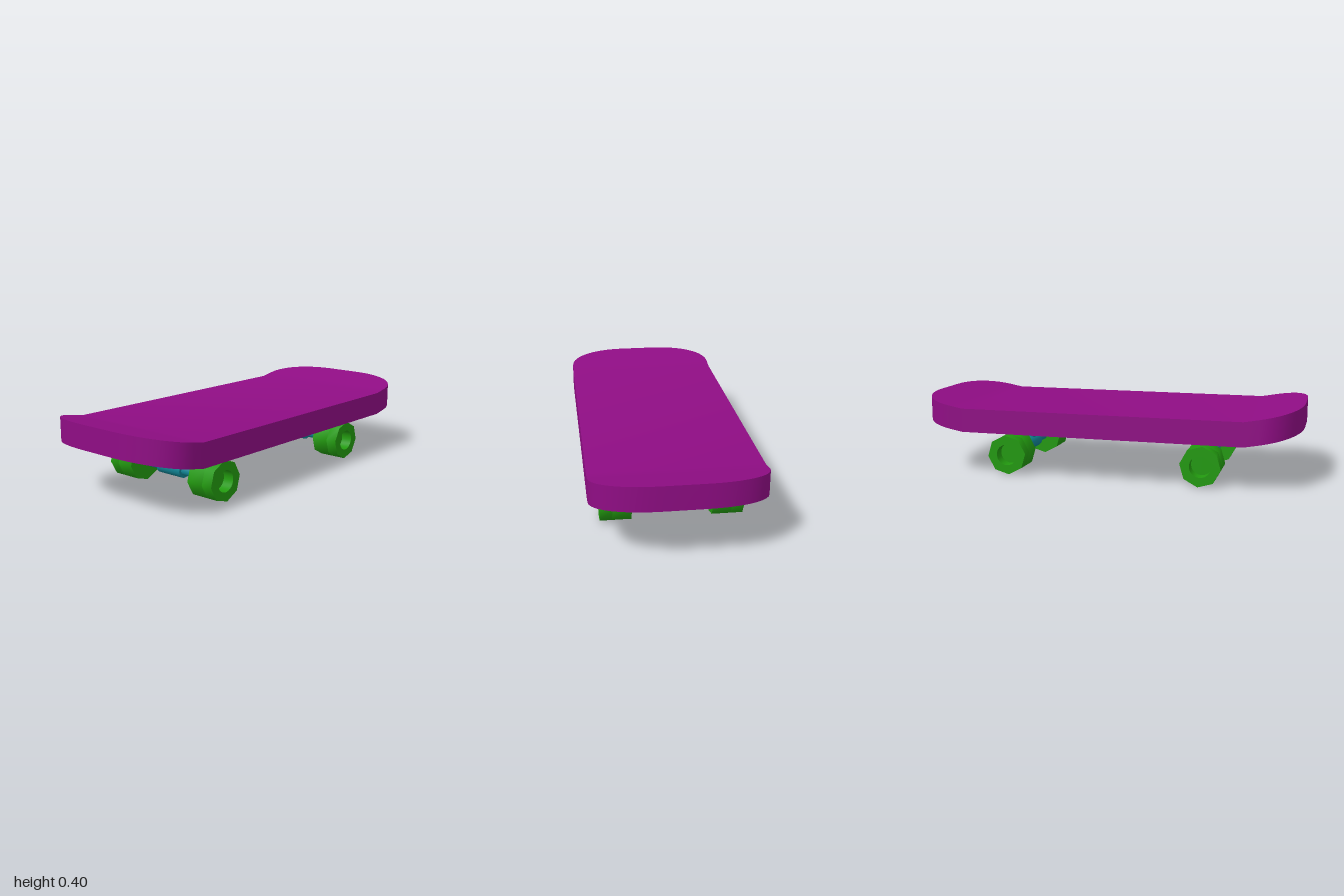
import * as THREE from 'three';
import { toCreasedNormals } from 'three/addons/utils/BufferGeometryUtils.js';

const paint = (color) => new THREE.MeshStandardMaterial({ color });
const purple = paint(0x8f0d84), green = paint(0x22990f), teal = paint(0x0f8090);

function part(name, geometry, material) {
  const mesh = new THREE.Mesh(geometry, material);
  mesh.name = name;
  return mesh;
}

// Deck: a box whose rows follow the rounded outline and kick up at both ends
function deckGeometry() {
  const bottom = 0.229, thickness = 0.123, bend = 0.73, rise = 0.05;
  const corner = new THREE.CubicBezierCurve(
    new THREE.Vector2(0.42, 0.8), new THREE.Vector2(0.42, 0.93),
    new THREE.Vector2(0.27, 1), new THREE.Vector2(0.1, 1)).getPoints(10);
  corner[10].y = 1;
  const half = [new THREE.Vector2(0.42, bend), ...corner];
  const rows = [...half.map((p) => [p.x, -p.y]).reverse(), ...half.map((p) => [p.x, p.y])];

  const n = rows.length - 1;
  const geometry = new THREE.BoxGeometry(2, 1, n, 1, 1, n);
  const pos = geometry.attributes.position;
  for (let i = 0; i < pos.count; i++) {
    const [w, z] = rows[Math.round(pos.getZ(i) + n / 2)];
    const kick = rise * Math.max(0, Math.abs(z) - bend) / (1 - bend);
    pos.setXYZ(i, pos.getX(i) * w, bottom + (pos.getY(i) + 0.5) * thickness + kick, z);
  }
  return toCreasedNormals(geometry, 0.6);
}

// Octagonal prism along x, with an optional round hole
function octagon(tilt, x, length, hole) {
  const points = [];
  for (let k = 0; k < 8; k++) {
    const a = tilt + k * Math.PI / 4;
    points.push(new THREE.Vector2(0.1045 * Math.cos(a), 0.1045 * Math.sin(a)));
  }
  const shape = new THREE.Shape(points);
  if (hole) shape.holes.push(new THREE.Path().absarc(0, 0, hole, 0, Math.PI * 2, true));
  const geometry = new THREE.ExtrudeGeometry(shape, { depth: length, bevelEnabled: false, curveSegments: 16 });
  geometry.rotateY(Math.PI / 2).translate(x, 0, 0);
  return toCreasedNormals(geometry, 1);
}

// Wheel: solid inner half and a recessed outer half
function wheel(name, tilt) {
  const group = new THREE.Group();
  group.name = name;
  group.add(part('wheelCore', octagon(tilt, 0.2, 0.095), green));
  group.add(part('wheelRim', octagon(tilt, 0.295, 0.06, 0.055), green));
  return group;
}

// Truck: axle, hanger, post and a pair of wheels
function truck(name) {
  const group = new THREE.Group();
  group.name = name;
  const bar = (r, length) => new THREE.CylinderGeometry(r, r, length, 20);
  group.add(part('axle', bar(0.0235, 0.42).rotateZ(Math.PI / 2), teal));
  group.add(part('hanger', bar(0.0375, 0.16).rotateZ(Math.PI / 2), teal));
  group.add(part('post', bar(0.026, 0.14).translate(0, 0.07, 0), teal));
  const tilt = THREE.MathUtils.degToRad(6);
  const left = wheel('leftWheel', tilt);
  const right = wheel('rightWheel', -tilt);
  right.rotation.y = Math.PI;
  group.add(left, right);
  return group;
}

export function createModel() {
  const model = new THREE.Group();
  model.name = 'skateboard';
  model.add(part('deck', deckGeometry(), purple));
  const front = truck('frontTruck');
  front.position.set(0, 0.104, 0.513);
  const rear = truck('rearTruck');
  rear.position.set(0, 0.104, -0.513);
  rear.rotation.y = Math.PI;
  model.add(front, rear);
  return model;
}
